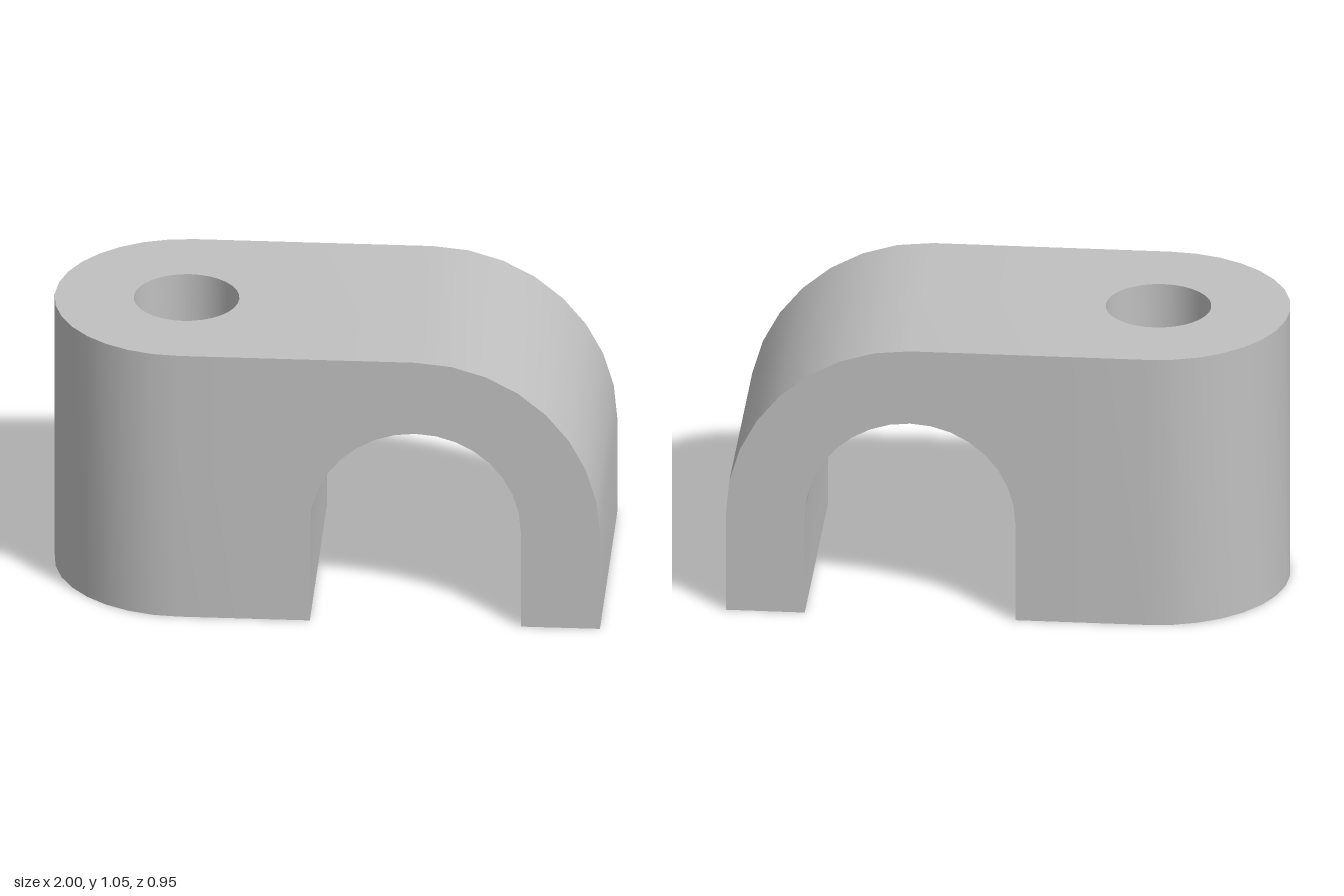
import * as THREE from 'three';
import { toCreasedNormals } from 'three/addons/utils/BufferGeometryUtils.js';

const U = 1 / 21; // drawing unit
const HEIGHT = 22 * U;
const DEPTH = 20 * U;
const SEAM = -5 * U; // plane where lug and saddle meet
const LUG_X = -11 * U;
const SADDLE_X = 7 * U;
const SADDLE_Y = 8 * U;

// Points along a circular arc, angles in radians
function arc(cx, cy, r, from, to, segments) {
  return Array.from({ length: segments + 1 }, (_, i) => {
    const a = from + ((to - from) * i) / segments;
    return new THREE.Vector2(cx + r * Math.cos(a), cy + r * Math.sin(a));
  });
}

// Drop the hidden walls on the joint plane so the two parts form one clean skin
function openAtSeam(geometry) {
  const p = geometry.getAttribute('position');
  const kept = [];
  for (let i = 0; i < p.count; i += 3) {
    if ([0, 1, 2].every((k) => Math.abs(p.getX(i + k) - SEAM) < 1e-5)) continue;
    for (let k = 0; k < 3; k++) kept.push(p.getX(i + k), p.getY(i + k), p.getZ(i + k));
  }
  const open = new THREE.BufferGeometry();
  open.setAttribute('position', new THREE.Float32BufferAttribute(kept, 3));
  open.computeVertexNormals();
  return toCreasedNormals(open, Math.PI / 6);
}

function extrude(shape, depth) {
  const g = new THREE.ExtrudeGeometry(shape, { depth, bevelEnabled: false });
  return g.index ? g.toNonIndexed() : g;
}

export function createModel() {
  const group = new THREE.Group();
  group.name = 'pipeClamp';
  const grey = new THREE.MeshStandardMaterial({ color: 0xc0c0c0 });
  grey.name = 'grey';

  // Rounded mounting lug with a vertical bolt hole
  const lugShape = new THREE.Shape([
    new THREE.Vector2(SEAM, -DEPTH / 2),
    new THREE.Vector2(SEAM, DEPTH / 2),
    ...arc(LUG_X, 0, DEPTH / 2, Math.PI / 2, Math.PI * 1.5, 16),
  ]);
  lugShape.holes.push(new THREE.Path(arc(LUG_X, 0, 4 * U, 0, -Math.PI * 2, 32).slice(0, -1)));
  const lugGeometry = extrude(lugShape, HEIGHT).rotateX(-Math.PI / 2);
  const lug = new THREE.Mesh(openAtSeam(lugGeometry), grey);
  lug.name = 'mountingLug';

  // Saddle arching over the pipe, down to the free leg
  const saddleShape = new THREE.Shape([
    new THREE.Vector2(SEAM, 0),
    new THREE.Vector2(SADDLE_X - 8 * U, 0),
    ...arc(SADDLE_X, SADDLE_Y, 8 * U, Math.PI, 0, 16),
    new THREE.Vector2(SADDLE_X + 8 * U, 0),
    new THREE.Vector2(SADDLE_X + 14 * U, 0),
    ...arc(SADDLE_X, SADDLE_Y, 14 * U, 0, Math.PI / 2, 8),
    new THREE.Vector2(SEAM, HEIGHT),
  ]);
  const saddleGeometry = extrude(saddleShape, DEPTH).translate(0, 0, -DEPTH / 2);
  const saddle = new THREE.Mesh(openAtSeam(saddleGeometry), grey);
  saddle.name = 'saddle';

  group.add(lug, saddle);
  return group;
}
